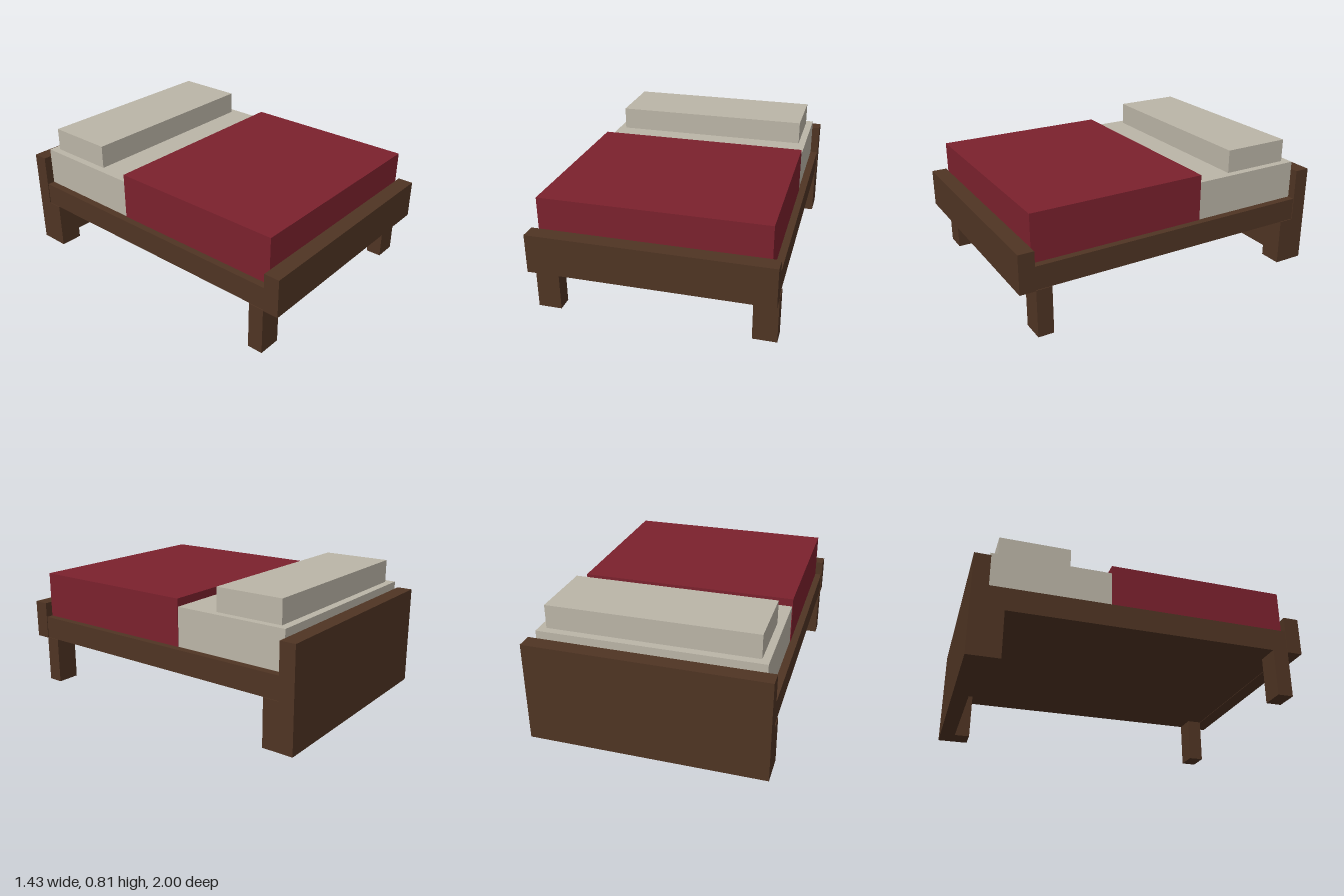
import * as THREE from 'three';

function material(name, color) {
  const m = new THREE.MeshStandardMaterial({ color });
  m.name = name;
  return m;
}

export function createModel() {
  const bed = new THREE.Group();
  bed.name = 'bed';
  const wood = material('dark wood', 0x4f3423);
  const linen = material('cream linen', 0xbbb5a7);
  const red = material('red blanket', 0x7b212d);

  // Box given by its extents along each axis
  function box(name, mat, [x0, x1], [y0, y1], [z0, z1]) {
    const mesh = new THREE.Mesh(new THREE.BoxGeometry(x1 - x0, y1 - y0, z1 - z0), mat);
    mesh.position.set((x0 + x1) / 2, (y0 + y1) / 2, (z0 + z1) / 2);
    mesh.name = name;
    bed.add(mesh);
  }

  // Wooden frame
  box('headboard', wood, [-0.714, 0.714], [0, 0.62], [-1, -0.905]);
  box('footboard', wood, [-0.714, 0.714], [0.287, 0.523], [0.905, 1]);
  box('bedBase', wood, [-0.709, 0.709], [0.29, 0.43], [-0.905, 0.905]);

  // Four legs, mirrored
  for (const [side, sx] of [['left', 1], ['right', -1]]) {
    const x = [0.572 * sx, 0.714 * sx].sort((a, b) => a - b);
    box(side + 'FrontLeg', wood, x, [0, 0.29], [0.81, 0.905]);
    box(side + 'BackLeg', wood, x, [0, 0.29], [-0.905, -0.81]);
  }

  // Bedding
  box('mattress', linen, [-0.663, 0.663], [0.43, 0.668], [-0.905, -0.19]);
  box('blanket', red, [-0.667, 0.667], [0.43, 0.716], [-0.19, 0.905]);
  box('pillow', linen, [-0.619, 0.619], [0.668, 0.811], [-0.857, -0.43]);

  return bed;
}
